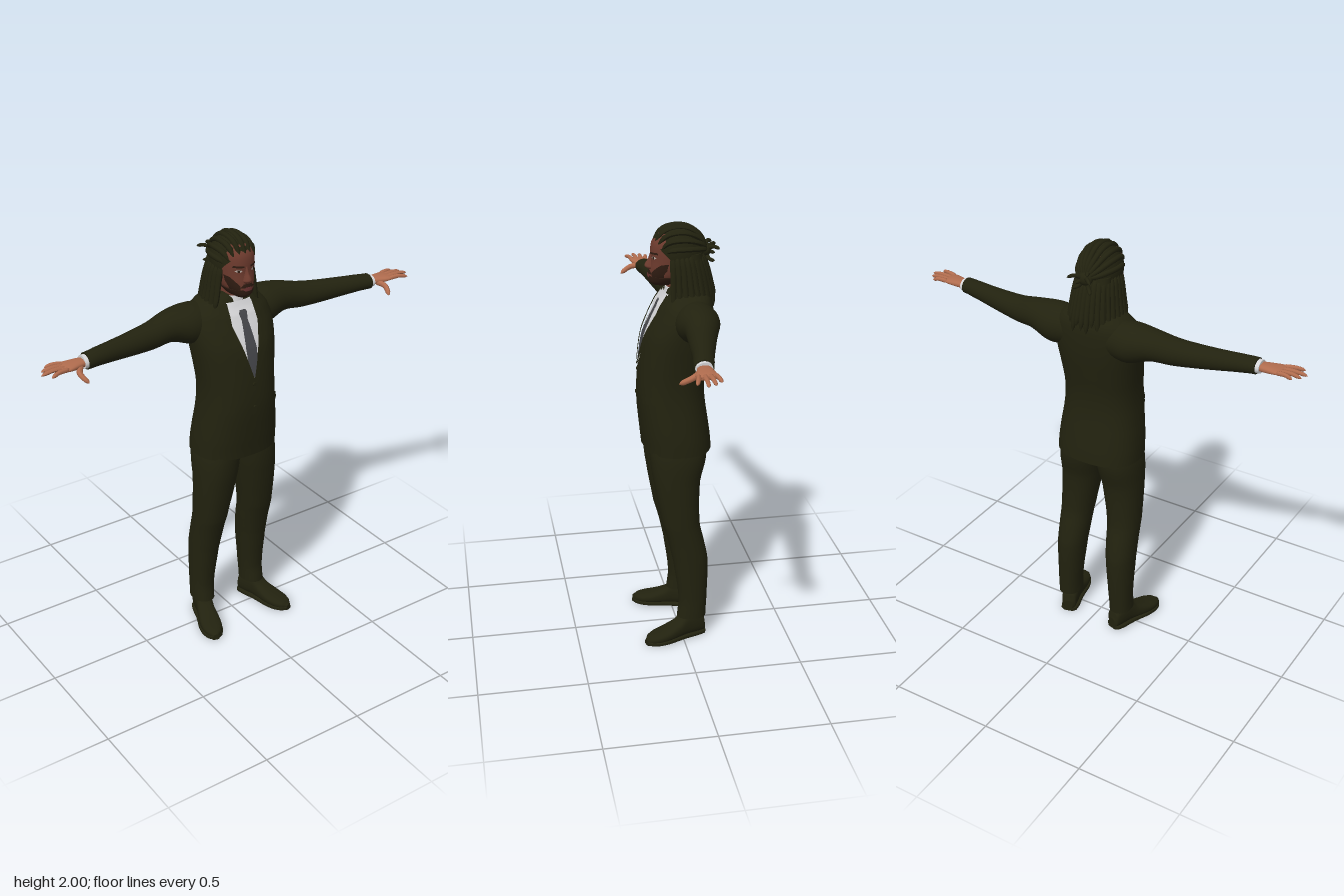
import * as THREE from 'three';

const mat = (name, color) => Object.assign(new THREE.MeshStandardMaterial({ color }), { name });

// Smoothly interpolate cross-section rows [t, aMin, aMax, bMin, bMax] at t
function sectionAt(rows, t) {
  let i = 0;
  while (i < rows.length - 2 && t > rows[i + 1][0]) i++;
  const f = THREE.MathUtils.clamp((t - rows[i][0]) / (rows[i + 1][0] - rows[i][0]), 0, 1);
  const p = rows[Math.max(i - 1, 0)], q = rows[i], r = rows[i + 1], s = rows[Math.min(i + 2, rows.length - 1)];
  return q.map((_, k) => {
    const m0 = (r[k] - p[k]) / 2, m1 = (s[k] - q[k]) / 2, d = r[k] - q[k];
    return q[k] + f * (m0 + f * (3 * d - 2 * m0 - m1 + f * (m0 + m1 - 2 * d)));
  });
}

// Closed skin through superellipse sections; (axis, a, b) are cyclic: y -> (z, x), x -> (y, z), z -> (x, y)
const place = { x: (t, a, b) => [t, a, b], y: (t, a, b) => [b, t, a], z: (t, a, b) => [a, b, t] };
function loft(axis, rows, n = 2, seg = 32, sub = 4) {
  const pos = [], idx = [], rings = (rows.length - 1) * sub + 1;
  const pw = (v) => Math.sign(v) * Math.abs(v) ** (2 / n);
  for (let j = 0; j < rings; j++) {
    const i = Math.min(Math.floor(j / sub), rows.length - 2);
    const t = THREE.MathUtils.lerp(rows[i][0], rows[i + 1][0], j / sub - i);
    const [, a0, a1, b0, b1] = sectionAt(rows, t);
    for (let k = 0; k < seg; k++) {
      const w = (k / seg) * Math.PI * 2;
      pos.push(...place[axis](t, (a0 + a1) / 2 + pw(Math.cos(w)) * (a1 - a0) / 2, (b0 + b1) / 2 + pw(Math.sin(w)) * (b1 - b0) / 2));
      if (j < rings - 1) {
        const p = j * seg + k, q = j * seg + (k + 1) % seg;
        idx.push(p, q, q + seg, p, q + seg, p + seg);
      }
    }
  }
  // end caps with their own vertices
  for (const end of [0, 1]) {
    const r = rows[end ? rows.length - 1 : 0], base = pos.length / 3, from = end ? (rings - 1) * seg : 0;
    pos.push(...place[axis](r[0], (r[1] + r[2]) / 2, (r[3] + r[4]) / 2));
    pos.push(...pos.slice(from * 3, (from + seg) * 3));
    for (let k = 0; k < seg; k++) {
      const p = base + 1 + k, q = base + 1 + (k + 1) % seg;
      idx.push(base, ...(end ? [p, q] : [q, p]));
    }
  }
  return build(pos, idx);
}

function build(pos, idx) {
  const g = new THREE.BufferGeometry();
  g.setAttribute('position', new THREE.Float32BufferAttribute(pos, 3));
  g.setIndex(idx);
  g.computeVertexNormals();
  return g;
}

// Front surface depth of a vertical loft
function frontZ(rows, n, x, y) {
  const [, z0, z1, , hw] = sectionAt(rows, y);
  return (z0 + z1) / 2 + (z1 - z0) / 2 * (1 - Math.min(Math.abs(x / hw), 1) ** n) ** (1 / n);
}

// Thin patch lying on a front surface, between left and right [x, y] edges listed upwards
function patch(rows, n, left, right, lift, cols = 10, sub = 6) {
  const pos = [], idx = [], count = (left.length - 1) * sub;
  for (let j = 0; j <= count; j++) {
    const i = Math.min(Math.floor(j / sub), left.length - 2), f = j / sub - i;
    const e = (s, k) => THREE.MathUtils.lerp(s[i][k], s[i + 1][k], f);
    for (let c = 0; c <= cols; c++) {
      const x = THREE.MathUtils.lerp(e(left, 0), e(right, 0), c / cols), y = THREE.MathUtils.lerp(e(left, 1), e(right, 1), c / cols);
      pos.push(x, y, frontZ(rows, n, x, y) + lift);
      if (j < count && c < cols) {
        const p = j * (cols + 1) + c, q = p + cols + 1;
        idx.push(p, p + 1, q + 1, p, q + 1, q);
      }
    }
  }
  return build(pos, idx);
}

// Round tube that closes at both ends
function strand(points, r, tip = 0.7, segs = 12) {
  const curve = new THREE.CatmullRomCurve3(points.map((p) => new THREE.Vector3(...p)));
  const g = new THREE.TubeGeometry(curve, segs, r, 8), pos = g.attributes.position, v = new THREE.Vector3();
  for (let i = 0; i < pos.count; i++) {
    const t = Math.floor(i / 9) / segs, c = curve.getPointAt(t);
    const s = Math.min(1, Math.sqrt(t * 6), Math.sqrt((1 - t) * 6)) * (1 - (1 - tip) * t);
    v.fromBufferAttribute(pos, i).sub(c).multiplyScalar(s).add(c);
    pos.setXYZ(i, v.x, v.y, v.z);
  }
  g.computeVertexNormals();
  return g;
}

function mirror(geo) {
  const g = geo.clone().scale(-1, 1, 1), a = g.index.array;
  for (let i = 0; i < a.length; i += 3) [a[i], a[i + 1]] = [a[i + 1], a[i]];
  return g;
}

export function createModel() {
  const model = new THREE.Group();
  const dark = mat('darkOlive', 0x22220f), shirt = mat('shirtWhite', 0xd6d6d8), tieGrey = mat('tieGrey', 0x46474b);
  const face = mat('faceSkin', 0x6c3a2d), skin = mat('handSkin', 0xb06c4e), beard = mat('beardBrown', 0x2f1c12);
  const lip = mat('lipRed', 0x6e3433), eye = mat('eyeWhite', 0xb8aaa2);
  const add = (name, geo, m) => {
    const mesh = new THREE.Mesh(geo, m);
    mesh.name = name;
    model.add(mesh);
  };
  const pair = (name, geo, m) => { add(name + 'Left', geo, m); add(name + 'Right', mirror(geo), m); };

  // Jacket body
  const N = 2.4;
  const torso = [[0.955, 0.16, 0.205], [1.05, 0.17, 0.2, -0.145], [1.2, 0.182, 0.182, -0.125], [1.3, 0.178, 0.178, -0.125],
    [1.4, 0.165, 0.187, -0.14], [1.5, 0.145, 0.2, -0.155], [1.58, 0.11, 0.205, -0.16], [1.64, 0.08, 0.19, -0.158],
    [1.68, 0.055, 0.15, -0.145], [1.71, 0.045, 0.085, -0.11], [1.73, 0.035, 0.06, -0.075]]
    .map(([y, zf, hw, zb = -0.155]) => [y, zb, zf, -hw, hw]);
  const onTorso = (l, r, lift) => patch(torso, N, l, r, lift);
  add('jacket', loft('y', torso, N, 56), dark);
  add('jacketFrontEdge', onTorso([[-0.008, 0.96], [-0.012, 1.37]], [[0.01, 0.96], [0.012, 1.37]], 0.004), dark);

  // Shirt front, tie, collar and lapels
  const inner = [[0.002, 1.36], [0.042, 1.5], [0.07, 1.6], [0.064, 1.69]];
  add('shirtFront', onTorso(inner.map(([x, y]) => [-x, y]), inner, 0.004), shirt);
  const tie = [[0.004, 1.365], [0.026, 1.45], [0.028, 1.5], [0.016, 1.615], [0.023, 1.655]];
  add('tie', onTorso(tie.map(([x, y]) => [-x, y]), tie, 0.009), tieGrey);
  add('shirtCollar', loft('y', [[1.655, -0.085, 0.062, -0.07, 0.07], [1.715, -0.075, 0.05, -0.062, 0.062]]), shirt);
  pair('collarPoint', onTorso([[0.04, 1.615], [0.016, 1.655], [0.008, 1.685]], [[0.043, 1.615], [0.062, 1.65], [0.062, 1.685]], 0.013), shirt);
  pair('lapel', onTorso(inner, [[0.006, 1.352], [0.085, 1.49], [0.125, 1.59], [0.1, 1.68]], 0.012), dark);
  pair('pocketFlap', onTorso([[0.1, 1.195], [0.1, 1.23]], [[0.172, 1.205], [0.172, 1.245]], 0.007), dark);
  for (const y of [1.22, 1.33]) {
    add('button', new THREE.CylinderGeometry(0.008, 0.008, 0.006, 16).rotateX(Math.PI / 2).translate(0, y, frontZ(torso, N, 0, y) + 0.006), dark);
  }

  // Sleeves, cuffs, hands
  const sleeve = [[0.1, 1.59, 0.085, -0.06, 0.085], [0.2, 1.59, 0.092, -0.06, 0.098], [0.3, 1.602, 0.07, -0.057, 0.077],
    [0.4, 1.59, 0.061, -0.04, 0.063], [0.5, 1.588, 0.053, -0.022, 0.055], [0.6, 1.59, 0.046, -0.004, 0.047],
    [0.7, 1.593, 0.039, 0.015, 0.044], [0.757, 1.593, 0.036, 0.026, 0.042]]
    .map(([x, y, ry, z, rz]) => [x, y - ry, y + ry, z - rz, z + rz]);
  pair('sleeve', loft('x', sleeve), dark);
  pair('cuff', loft('x', [[0.74, 1.562, 1.624, -0.011, 0.063], [0.774, 1.564, 1.622, -0.008, 0.064]]), shirt);
  pair('palm', loft('x', [[0.755, 1.578, 1.61, 0, 0.056], [0.8, 1.577, 1.612, -0.004, 0.066], [0.85, 1.584, 1.61, -0.009, 0.08],
    [0.885, 1.59, 1.605, -0.004, 0.074]], 2.4), skin);
  for (const [z0, x1, z1] of [[0.002, 0.93, -0.012], [0.023, 0.96, 0.018], [0.045, 0.975, 0.05], [0.067, 0.947, 0.092]]) {
    pair('finger', strand([[0.85, 1.598, z0], [(0.87 + x1) / 2, 1.602, (z0 + z1) / 2], [x1, 1.594, z1]], 0.0115), skin);
  }
  pair('thumb', strand([[0.785, 1.59, 0.04], [0.815, 1.575, 0.085], [0.8, 1.547, 0.137]], 0.015), skin);

  // Trousers
  pair('trouserLeg', loft('y', [[0.105, -0.115, 0.022, 0.093, 0.2], [0.2, -0.12, 0.014, 0.088, 0.2], [0.4, -0.125, 0.04, 0.07, 0.205],
    [0.5, -0.107, 0.062, 0.06, 0.206], [0.6, -0.086, 0.09, 0.05, 0.207], [0.8, -0.09, 0.125, 0.018, 0.206],
    [0.92, -0.12, 0.14, -0.002, 0.203], [1.02, -0.12, 0.14, -0.002, 0.185]], 2.2), dark);

  // Shoes, toes turned out
  const shoe = [[-0.07, 0.022, 0.06], [-0.06, 0.035, 0.1], [-0.02, 0.041, 0.13], [0.03, 0.041, 0.13], [0.07, 0.044, 0.092],
    [0.13, 0.051, 0.066], [0.18, 0.048, 0.053], [0.215, 0.034, 0.044], [0.237, 0.012, 0.03]];
  const turnOut = (g) => g.rotateY(0.3).translate(0.148, 0, -0.042);
  pair('shoe', turnOut(loft('z', shoe.map(([z, w, h]) => [z, -w, w, 0.006, h]), 2.5)), dark);
  pair('shoeSole', turnOut(loft('z', shoe.map(([z, w]) => [z, -w - 0.004, w + 0.004, 0, 0.02]), 5)), dark);

  // Head and neck
  const head = [[1.728, 0, 0.1, 0.025], [1.742, -0.03, 0.118, 0.046], [1.77, -0.07, 0.122, 0.065], [1.8, -0.08, 0.12, 0.074],
    [1.84, -0.09, 0.115, 0.08], [1.88, -0.1, 0.116, 0.082], [1.92, -0.1, 0.108, 0.08], [1.96, -0.08, 0.08, 0.06]]
    .map(([y, zb, zf, hw]) => [y, zb, zf, -hw, hw]);
  const onHead = (l, r, lift) => patch(head, 2.2, l, r, lift, 6, 4);
  add('head', loft('y', head, 2.2), face);
  add('neck', loft('y', [[1.66, -0.075, 0.045, -0.058, 0.058], [1.78, -0.06, 0.05, -0.055, 0.055]]), face);
  add('nose', loft('y', [[1.793, 0.09, 0.122, -0.014, 0.014], [1.805, 0.09, 0.14, -0.021, 0.021], [1.816, 0.09, 0.142, -0.018, 0.018],
    [1.84, 0.09, 0.128, -0.01, 0.01], [1.872, 0.09, 0.117, -0.008, 0.008]], 2, 20), face);
  pair('ear', new THREE.SphereGeometry(1, 12, 10).scale(0.01, 0.027, 0.017).translate(0.08, 1.835, 0.005), face);
  pair('eye', onHead([[0.03, 1.847], [0.022, 1.853], [0.032, 1.86]], [[0.042, 1.847], [0.053, 1.854], [0.042, 1.86]], 0.002), eye);
  pair('iris', onHead([[0.033, 1.847], [0.033, 1.86]], [[0.043, 1.847], [0.043, 1.86]], 0.004), beard);
  pair('eyebrow', onHead([[0.016, 1.868], [0.016, 1.876]], [[0.06, 1.87], [0.058, 1.879]], 0.004), beard);

  // Beard, moustache and lips
  add('beard', loft('y', head.slice(0, 3).map(([y, zb, zf, , w]) => [y - 0.004, zb, zf + 0.005, -w - 0.004, w + 0.004]), 2.2), beard);
  add('moustache', onHead([[-0.036, 1.776], [-0.02, 1.794]], [[0.036, 1.776], [0.02, 1.794]], 0.004), beard);
  pair('beardSide', onHead([[0.034, 1.755], [0.034, 1.785], [0.066, 1.825]], [[0.056, 1.755], [0.072, 1.8], [0.077, 1.83]], 0.005), beard);
  add('lips', onHead([[-0.016, 1.762], [-0.026, 1.77], [-0.012, 1.78]], [[0.016, 1.762], [0.026, 1.77], [0.012, 1.78]], 0.008), lip);

  // Hair cap, tilted back, and the mass behind the neck
  add('hairCap', new THREE.SphereGeometry(1, 32, 20, 0, Math.PI * 2, 0, 1.9).rotateX(-Math.PI / 4).scale(0.093, 0.127, 0.12).translate(0, 1.865, -0.002), dark);
  add('hairBack', loft('y', [[1.66, -0.165, -0.06, -0.095, 0.095], [1.75, -0.15, -0.03, -0.095, 0.095], [1.87, -0.115, -0.01, -0.085, 0.085]]), dark);

  // Locks swept from the hairline back to the knot
  for (let i = -4; i <= 4; i++) {
    const s = Math.sin(i * 0.33), c = Math.cos(i * 0.33);
    add('sweptLock', strand([[0.078 * s, 1.865 + 0.055 * c, 0.04 + 0.066 * c], [0.088 * s, 1.865 + 0.11 * c, 0.035 + 0.02 * c],
      [0.088 * s, 1.865 + 0.122 * c, -0.03], [0.06 * s, 1.87 + 0.075 * c, -0.1], [0.01 * s, 1.875, -0.14]], 0.013, 0.9, 18), dark);
  }
  // Knot with loose ends
  add('hairKnot', new THREE.SphereGeometry(0.03, 16, 12).scale(1.2, 1, 0.8).translate(0, 1.872, -0.132), dark);
  for (const [x, y, z] of [[0.06, 1.885, -0.185], [-0.06, 1.88, -0.19], [0.025, 1.86, -0.17], [-0.03, 1.9, -0.165], [0.05, 1.83, -0.165], [-0.045, 1.82, -0.165]]) {
    add('knotEnd', strand([[0, 1.872, -0.13], [x * 0.6, y + 0.006, z + 0.022], [x, y, z]], 0.011), dark);
  }
  // Hanging locks around the back and sides
  for (let i = -10; i <= 10; i++) {
    const a = i * 0.2, s = Math.sin(a), c = Math.cos(a), drop = 1.64 + 0.02 * Math.sin(i * 2.3);
    add('hangingLock', strand([[0.08 * s, 1.875, -0.01 - 0.095 * c], [0.097 * s, 1.8, -0.02 - 0.115 * c],
      [0.11 * s, 1.72, -0.025 - 0.132 * c], [0.125 * s, drop, -0.03 - 0.143 * c]], 0.016, 0.75), dark);
  }
  return model;
}
